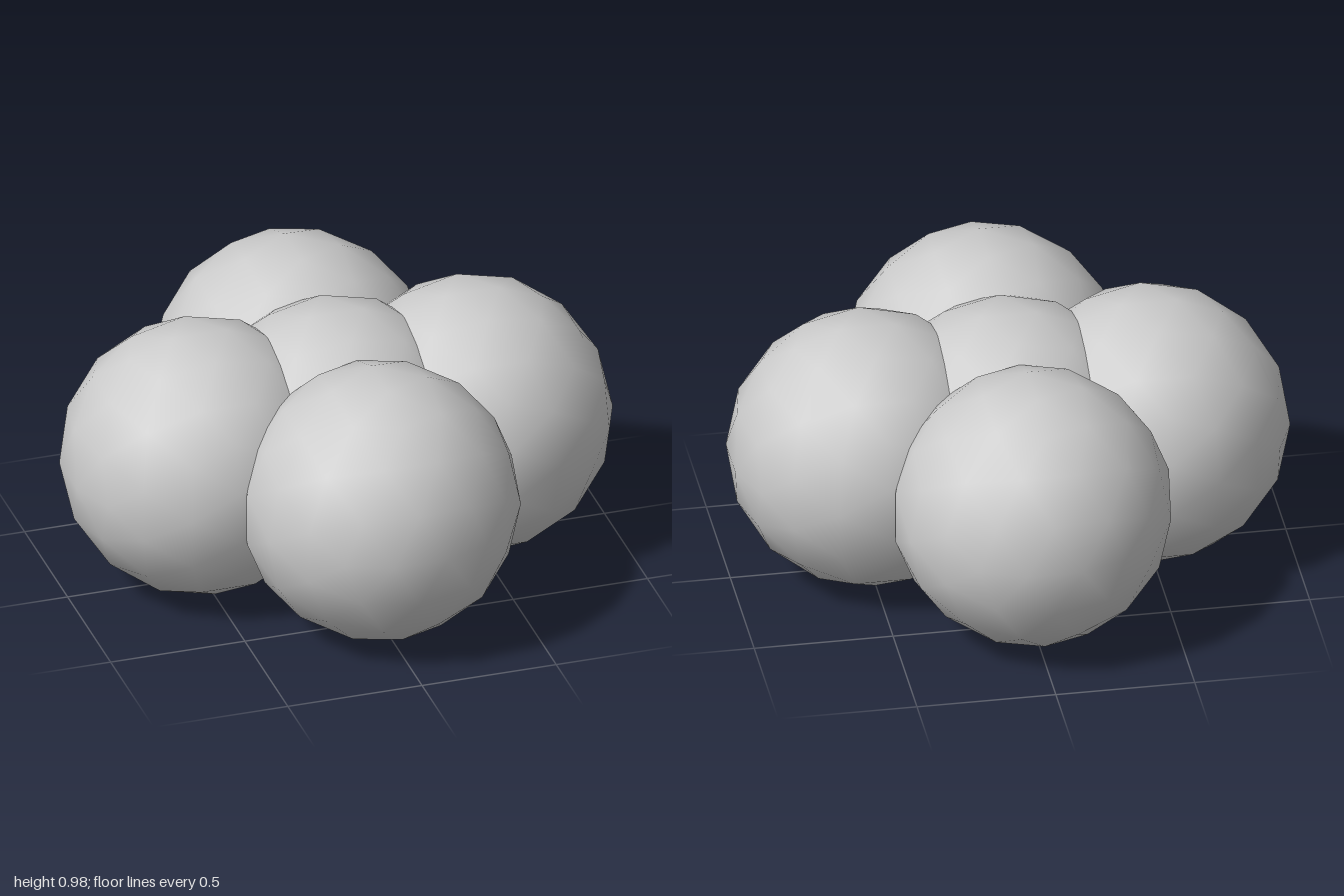
import * as THREE from 'three';

const RADIUS = 0.502;   // of every ball
const OFFSET = 0.507;   // from the centre ball to each outer ball
const HEIGHT = 0.492;   // of all ball centres

export function createModel() {
  const group = new THREE.Group();
  group.name = 'ballCluster';
  const material = new THREE.MeshStandardMaterial({ color: 0xcccccc });
  // coarse round ball with smooth normals
  const ball = new THREE.IcosahedronGeometry(RADIUS, 2);

  function addBall(name, x, z, turn) {
    const mesh = new THREE.Mesh(ball, material);
    mesh.name = name;
    mesh.position.set(x, HEIGHT, z);
    mesh.rotation.y = turn;
    group.add(mesh);
  }

  // centre ball with four overlapping neighbours in a cross
  addBall('centerBall', 0, 0, 0);
  addBall('leftBall', OFFSET, 0, 0);
  addBall('rightBall', -OFFSET, 0, 0);
  addBall('frontBall', 0, OFFSET, Math.PI / 2);
  addBall('backBall', 0, -OFFSET, Math.PI / 2);
  return group;
}
